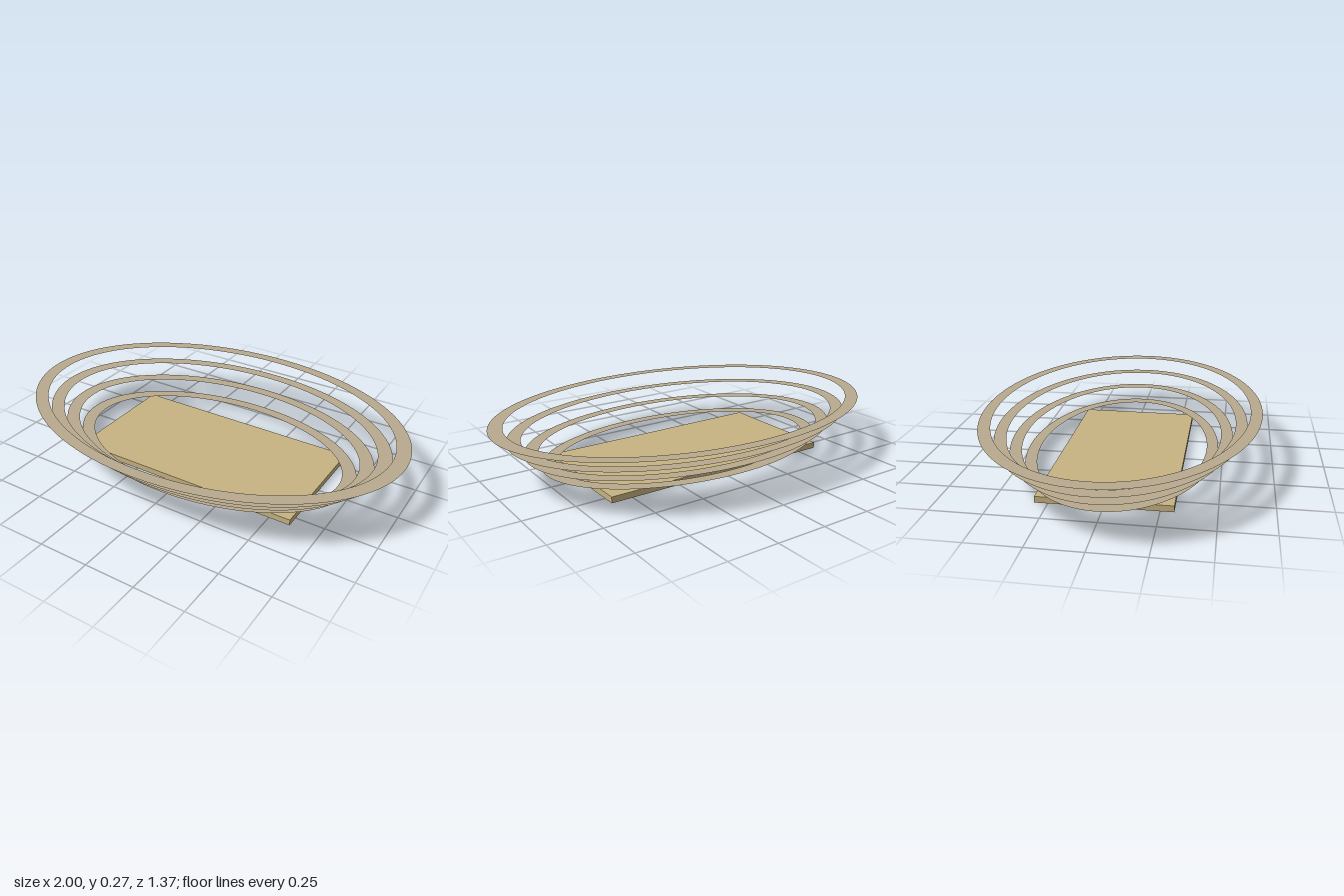
import * as THREE from 'three';

export function createModel() {
  const group = new THREE.Group();
  const turf = new THREE.MeshStandardMaterial({ color: 0xc8b482 });
  turf.name = 'sand';
  const stone = new THREE.MeshStandardMaterial({ color: 0xb8aa8e, side: THREE.DoubleSide });
  stone.name = 'stone';

  // Rectangular floor slab
  const floor = new THREE.Mesh(new THREE.BoxGeometry(1.212, 0.03, 0.624), turf);
  floor.name = 'floor';
  floor.position.y = 0.015;
  group.add(floor);

  // Flat oval tiers, each wider and higher than the last
  const tierCount = 4;
  for (let i = 0; i < tierCount; i++) {
    const rx = 0.767 + i * 0.0777;
    const rz = 0.477 + i * 0.0693;
    const shape = new THREE.Shape();
    shape.absellipse(0, 0, rx, rz, 0, Math.PI * 2, false);
    const hole = new THREE.Path();
    hole.absellipse(0, 0, rx - 0.07, rz - 0.057, 0, Math.PI * 2, true);
    shape.holes.push(hole);

    const geometry = new THREE.ShapeGeometry(shape, 96);
    geometry.rotateX(-Math.PI / 2);
    const tier = new THREE.Mesh(geometry, stone);
    tier.name = `seatingTier${i + 1}`;
    tier.position.y = 0.06 + i * 0.07;
    group.add(tier);
  }
  return group;
}
